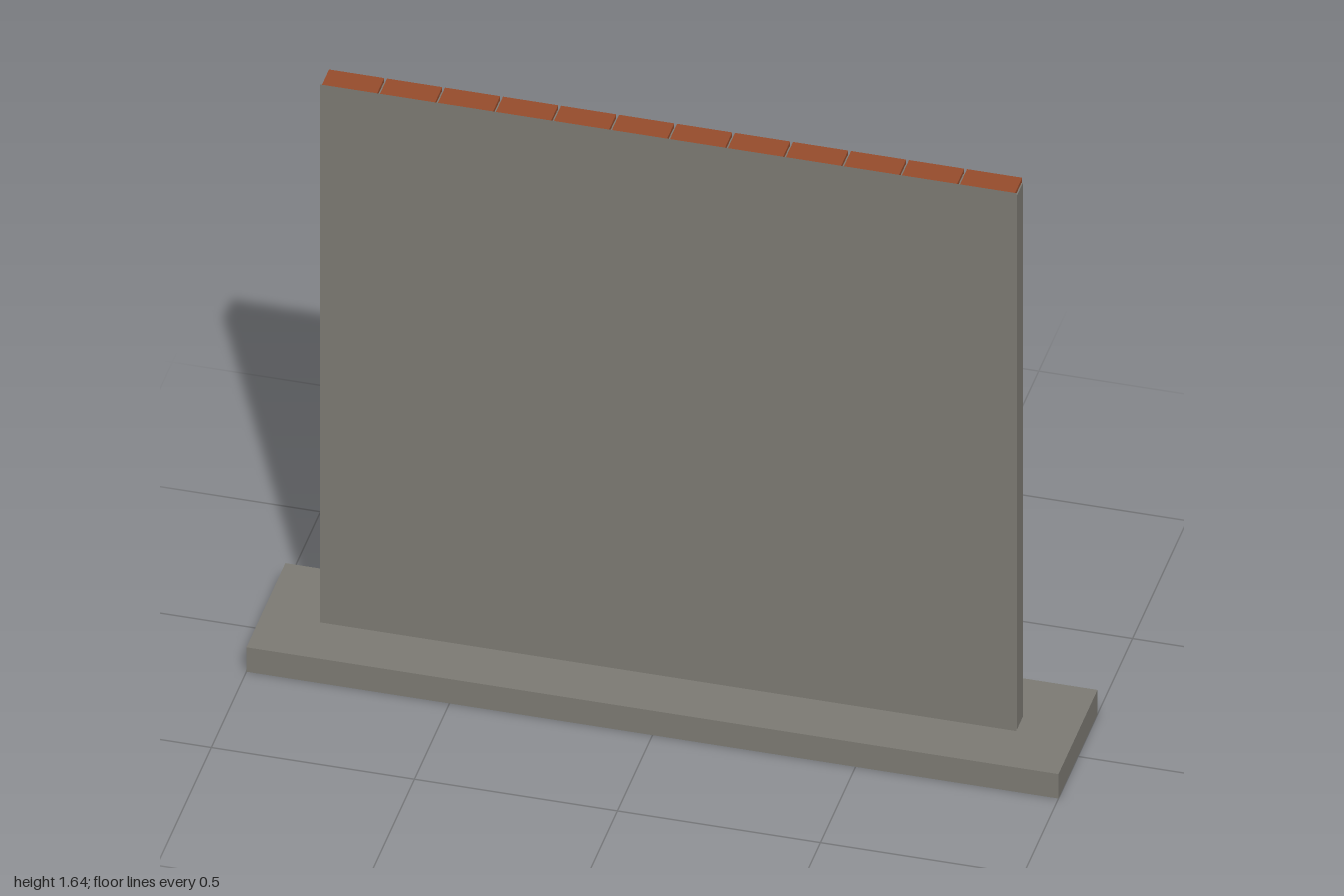
import * as THREE from 'three';

export function createModel() {
  const concrete = new THREE.MeshStandardMaterial({ color: 0x7c7a73, side: THREE.DoubleSide });
  concrete.name = 'concrete grey';
  const brick = new THREE.MeshStandardMaterial({ color: 0x964c2c });
  brick.name = 'brick red';

  const model = new THREE.Group();
  model.name = 'brickWall';
  const U = 1 / 7;            // brick module
  const baseTop = U / 2;
  const columns = 12, rows = 11;
  const half = columns * U / 2;
  const height = rows * U;

  function add(parent, name, geometry, material, x, y, z) {
    const mesh = new THREE.Mesh(geometry, material);
    mesh.name = name;
    mesh.position.set(x, y, z);
    parent.add(mesh);
  }

  // Footing slab
  add(model, 'footing', new THREE.BoxGeometry(2, baseTop, 2.5 * U), concrete, 0, baseTop / 2, 0);

  // Mortar core, which also closes both ends of the wall
  add(model, 'mortarCore', new THREE.BoxGeometry(half * 2, height - 0.012, 0.052), concrete,
    0, baseTop + (height - 0.012) / 2, 0);

  // Running-bond brickwork with half bricks at the ends of odd courses
  const bricks = new THREE.Group();
  bricks.name = 'bricks';
  model.add(bricks);
  const gapX = 0.007, gapY = 0.01;
  const fullBrick = new THREE.BoxGeometry(U - gapX, U - gapY, 0.066);
  const halfBrick = new THREE.BoxGeometry(U / 2 - gapX, U - gapY, 0.066);
  for (let r = 0; r < rows; r++) {
    const y = baseTop + (r + 0.5) * U + (r === rows - 1 ? 0.003 : 0);
    const odd = r % 2;
    for (let c = 0; c < columns - odd; c++) {
      add(bricks, 'brick', fullBrick, brick, -half + (c + 0.5 + odd / 2) * U, y, 0);
    }
    if (odd) {
      for (const s of [-1, 1]) add(bricks, 'halfBrick', halfBrick, brick, s * (half - U / 4), y, 0);
    }
  }

  // Two thin render panels covering the front
  const panel = new THREE.PlaneGeometry(half * 2, height / 2);
  for (const i of [0, 1]) {
    add(model, i ? 'upperFrontPanel' : 'lowerFrontPanel', panel, concrete,
      0, baseTop + (i + 0.5) * height / 2, 0.0345);
  }
  return model;
}
